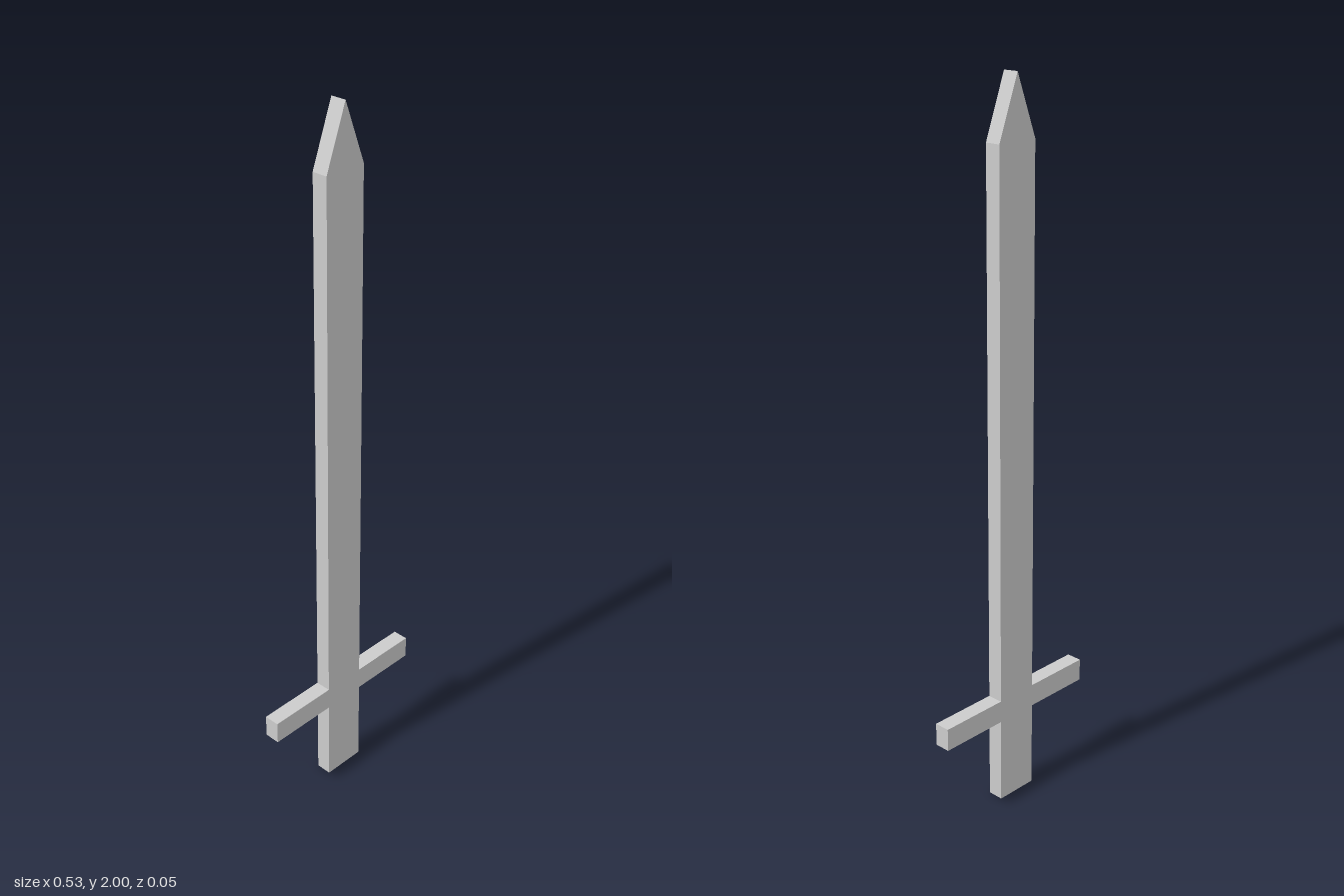
import * as THREE from 'three';

const DEPTH = 0.045;
const HALF_BLADE = 0.0625;
const HALF_GUARD = 0.265;
const GUARD_BOTTOM = 0.25;
const GUARD_TOP = 0.315;
const SHOULDER = 1.835;
const TIP = 2;

export function createModel() {
  const group = new THREE.Group();
  group.name = 'sword';

  // Right half of the outline, from the pommel end up to the shoulder of the tip
  const half = [
    [HALF_BLADE, 0],
    [HALF_BLADE, GUARD_BOTTOM],
    [HALF_GUARD, GUARD_BOTTOM],
    [HALF_GUARD, GUARD_TOP],
    [HALF_BLADE, GUARD_TOP],
    [HALF_BLADE, SHOULDER],
  ];
  // Mirror it around the tip to close the outline
  const mirrored = half.map(([x, y]) => [-x, y]).reverse();
  const outline = [...half, [0, TIP], ...mirrored].map(([x, y]) => new THREE.Vector2(x, y));

  // Grip, crossguard and blade are one flat slab
  const geometry = new THREE.ExtrudeGeometry(new THREE.Shape(outline), {
    depth: DEPTH,
    bevelEnabled: false,
  });
  geometry.translate(0, 0, -DEPTH / 2);

  const material = new THREE.MeshStandardMaterial({ color: 0xcccccc, flatShading: true });
  const body = new THREE.Mesh(geometry, material);
  body.name = 'gripGuardAndBlade';
  group.add(body);
  return group;
}
